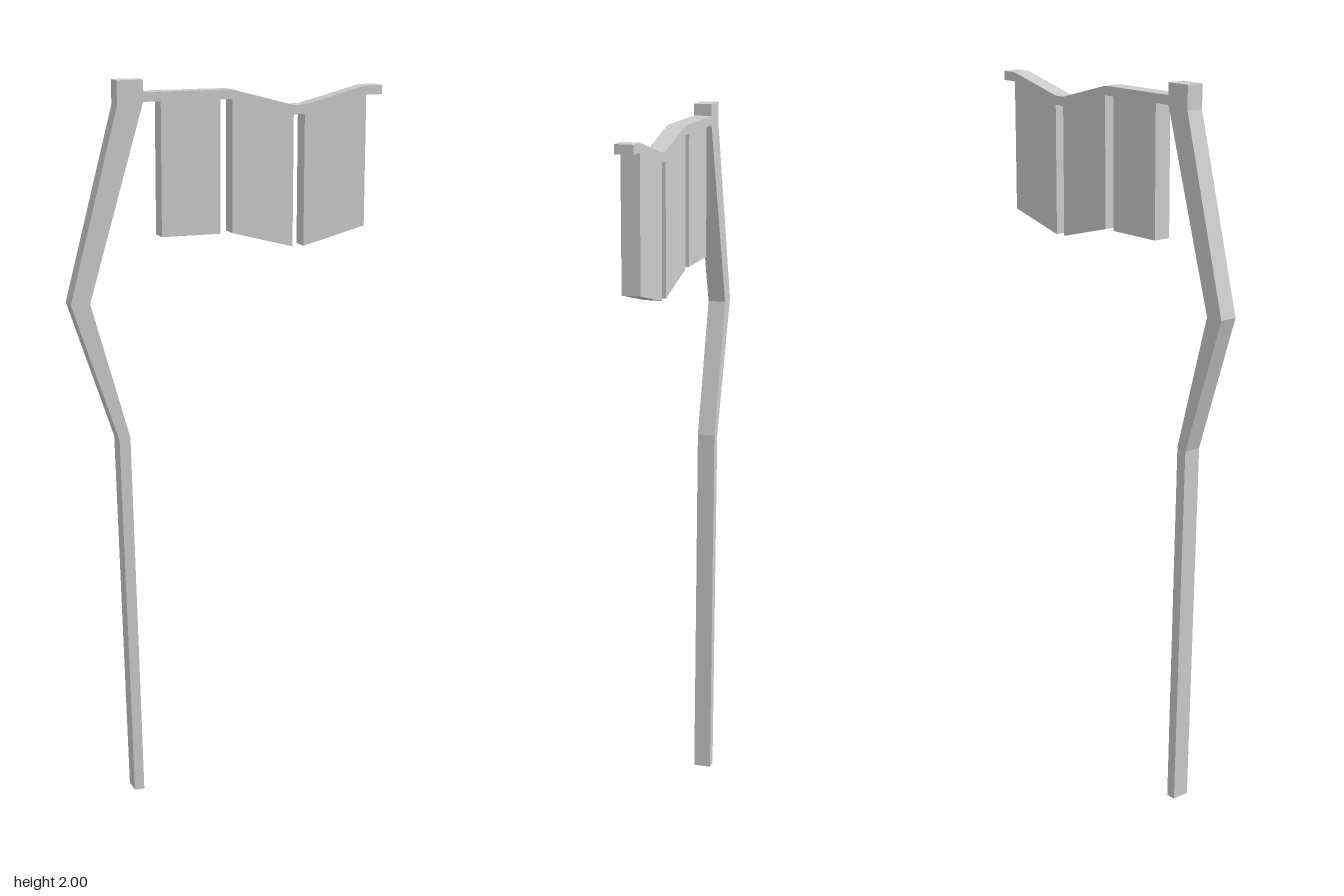
import * as THREE from 'three';

const DEPTH = 0.05;
const RAIL = 0.025; // rail thickness
const DROP = 0.381; // rail top to panel bottom

// Flat plate cut from an outline in x, y and centred on z = 0
function plate(name, outline, material) {
  const shape = new THREE.Shape(outline.map(([x, y]) => new THREE.Vector2(x, y)));
  const geometry = new THREE.ExtrudeGeometry(shape, { depth: DEPTH, bevelEnabled: false });
  geometry.translate(0, 0, -DEPTH / 2);
  const mesh = new THREE.Mesh(geometry, material);
  mesh.name = name;
  return mesh;
}

// Outline of a band hanging a fixed height below a top line
function band(top, from, to) {
  return [
    ...top.map(([x, y]) => [x, y - to]),
    ...top.slice().reverse().map(([x, y]) => [x, y - from]),
  ];
}

export function createModel() {
  const model = new THREE.Group();
  model.name = 'bentPoleWithBanner';
  const material = new THREE.MeshStandardMaterial({ color: 0xcccccc, flatShading: true });

  // Bent pole, widening towards its square head
  model.add(plate('pole', [
    [-0.257, 0], [-0.284, 1.045], [-0.39, 1.42], [-0.237, 1.943], [-0.237, 2],
    [-0.308, 2], [-0.308, 1.935], [-0.443, 1.42], [-0.315, 1.04], [-0.285, 0],
  ], material));

  // Kinked rail reaching out from the head
  model.add(plate('rail', band([
    [-0.237, 1.968], [0.01, 1.968], [0.185, 1.922],
    [0.217, 1.922], [0.396, 1.968], [0.443, 1.968],
  ], 0, RAIL), material));

  // Three panels hanging from the rail and following its slope
  const panels = [
    [[-0.189, 1.968], [-0.024, 1.968]],
    [[0.01, 1.968], [0.185, 1.922]],
    [[0.217, 1.922], [0.396, 1.968]],
  ];
  panels.forEach((top, i) => {
    model.add(plate(`panel${i + 1}`, band(top, RAIL, DROP), material));
  });

  return model;
}
